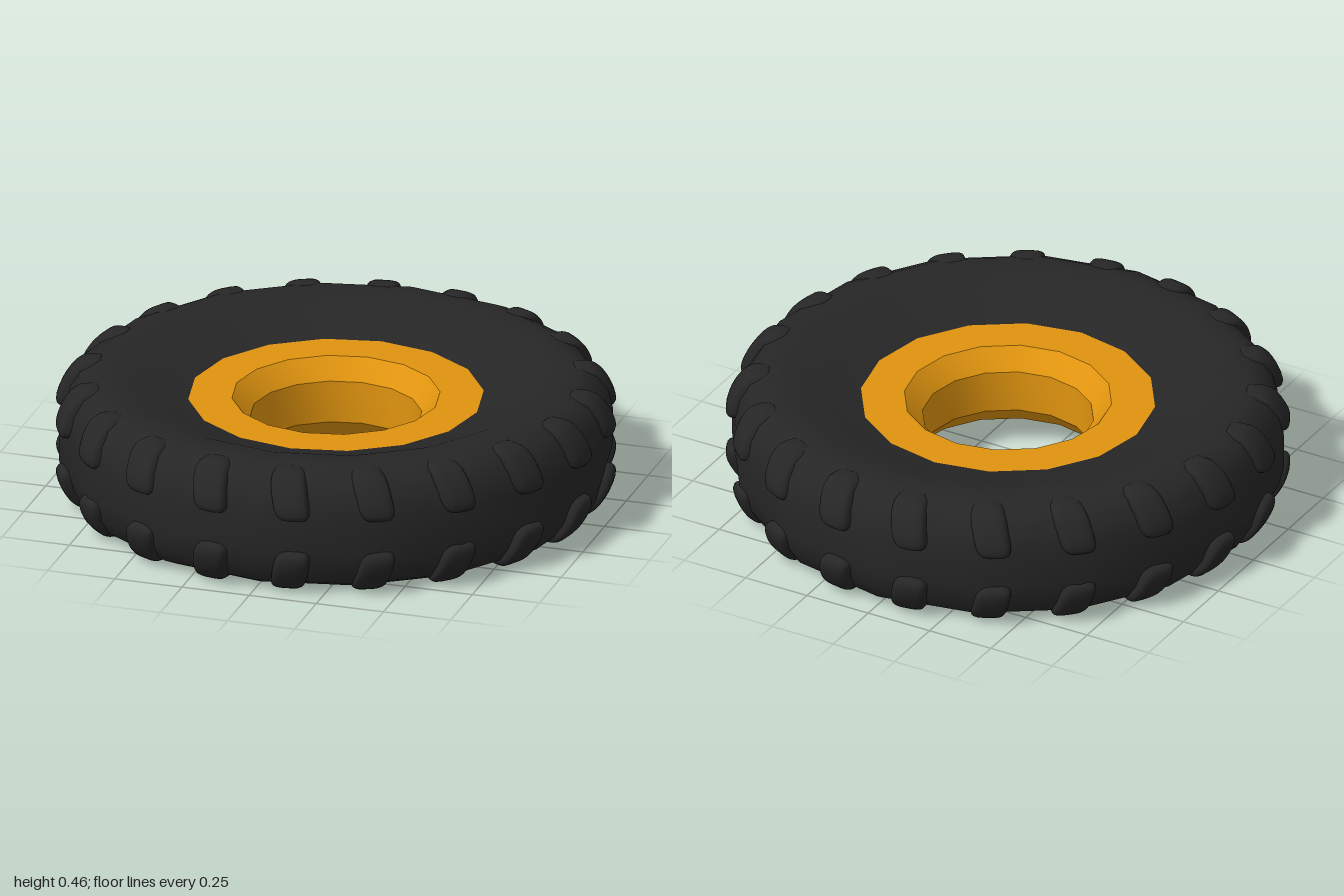
import * as THREE from 'three';
import { mergeVertices, toCreasedNormals } from 'three/addons/utils/BufferGeometryUtils.js';

const MID = 0.2275; // half the tyre width
const SIDES = 16;
const LUGS = 20;

// Lathe from one half profile (radius, height above mid-plane), mirrored top to bottom
function mirroredLathe(half, outward) {
  const upper = half.map(([r, y]) => new THREE.Vector2(r, y));
  const lower = half.map(([r, y]) => new THREE.Vector2(r, -y)).reverse();
  const points = outward ? [...lower, ...upper] : [...upper, ...lower];
  return new THREE.LatheGeometry(points, SIDES);
}

// Rounded tread block, bent inward over the shoulder and slightly slanted
function lugGeometry(side) {
  let g = new THREE.BoxGeometry(2, 2, 2, 8, 8, 6);
  g.deleteAttribute('uv');
  g.deleteAttribute('normal');
  g = mergeVertices(g);
  const p = g.attributes.position;
  for (let i = 0; i < p.count; i++) {
    const c = [p.getX(i), p.getY(i), p.getZ(i)];
    const n = Math.pow(c.reduce((s, a) => s + Math.pow(Math.abs(a), 4), 0), 0.25);
    const [w, h, t] = c.map((a) => a / n);
    const v = h * side; // +1 at the sidewall end
    p.setXYZ(i,
      0.955 + 0.05 * w - 0.02 * (v + 1) * (v + 1),
      side * 0.143 + 0.084 * h,
      0.064 * t + 0.018 * v);
  }
  g.computeVertexNormals();
  return g;
}

export function createModel() {
  const model = new THREE.Group();
  model.name = 'wheel';
  const rubber = new THREE.MeshStandardMaterial({ color: 0x262626 });
  rubber.name = 'black rubber';
  const paint = new THREE.MeshStandardMaterial({ color: 0xe0940f });
  paint.name = 'orange paint';

  // Tyre: flat tread, round shoulders, sidewalls dished toward the rim
  const tyre = new THREE.Mesh(mirroredLathe([
    [0.985, 0.065], [0.966, 0.14], [0.93, 0.195], [0.875, 0.222],
    [0.81, 0.2275], [0.72, 0.212], [0.62, 0.175], [0.525, 0.15],
  ], true), rubber);
  tyre.name = 'tyre';
  tyre.position.y = MID;
  model.add(tyre);

  // Rim: flat ring, bevel and straight bore on both faces
  const rim = new THREE.Mesh(toCreasedNormals(mirroredLathe([
    [0.525, 0.15], [0.37, 0.15], [0.305, 0.078],
  ], false), 0.6), paint);
  rim.name = 'rim';
  rim.position.y = MID;
  model.add(rim);

  // Two rows of tread lugs
  for (const side of [1, -1]) {
    const row = new THREE.Group();
    row.name = side > 0 ? 'upperLugs' : 'lowerLugs';
    row.position.y = MID;
    const geometry = lugGeometry(side);
    for (let i = 0; i < LUGS; i++) {
      const lug = new THREE.Mesh(geometry, rubber);
      lug.name = 'treadLug';
      lug.rotation.y = THREE.MathUtils.degToRad(8 + (i * 360) / LUGS);
      row.add(lug);
    }
    model.add(row);
  }
  return model;
}
